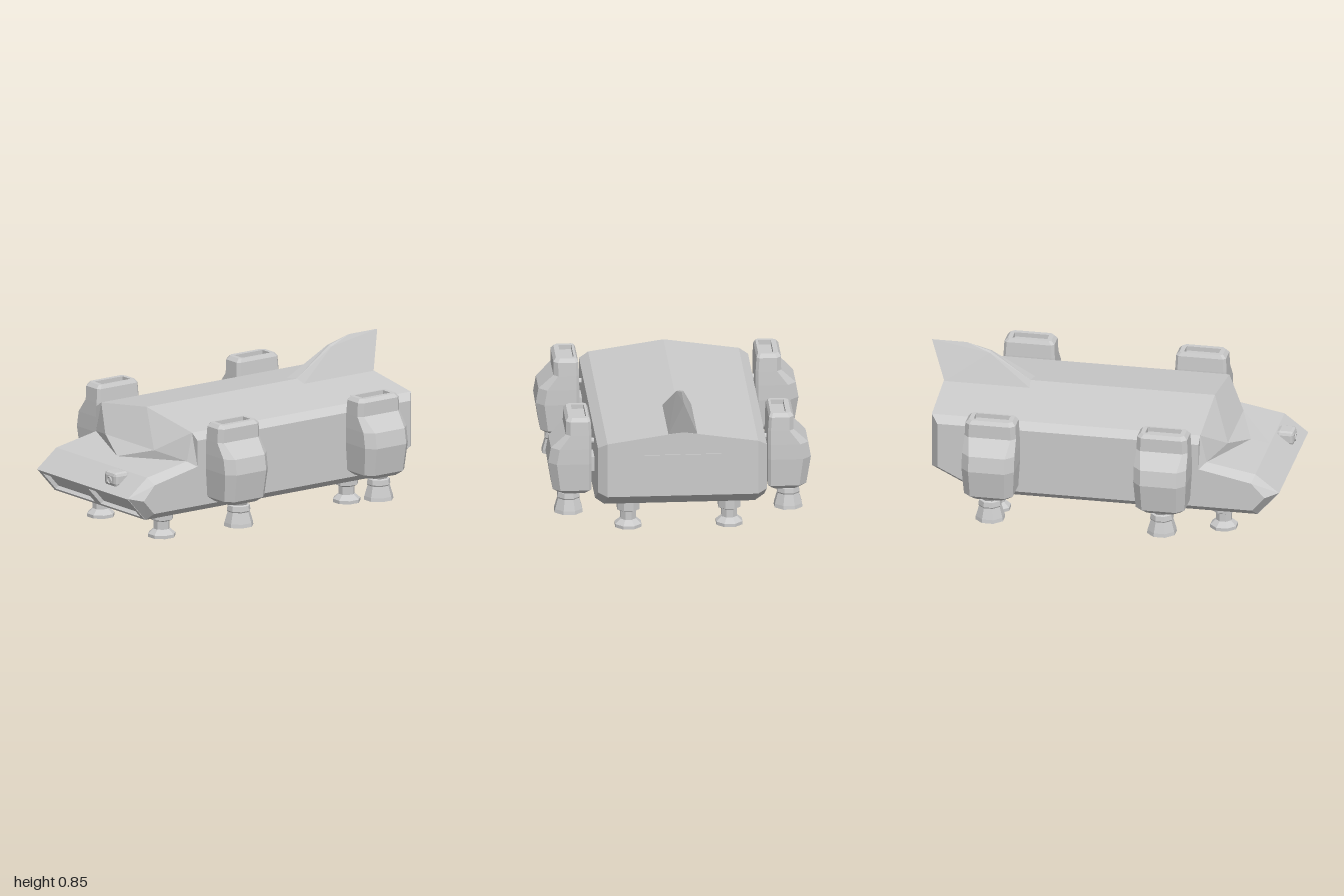
import * as THREE from 'three';
import { RoundedBoxGeometry } from 'three/addons/geometries/RoundedBoxGeometry.js';

const material = new THREE.MeshStandardMaterial({ color: 0xcccccc, flatShading: true });

function add(parent, name, geometry, x = 0, y = 0, z = 0) {
  const mesh = new THREE.Mesh(geometry, material);
  mesh.name = name;
  mesh.position.set(x, y, z);
  parent.add(mesh);
  return mesh;
}

function fromTriangles(positions) {
  const g = new THREE.BufferGeometry();
  g.setAttribute('position', new THREE.Float32BufferAttribute(positions, 3));
  g.computeVertexNormals();
  return g;
}

// Polygons of the +x half, mirrored to -x and turned to face away from an inner point
function mirroredShell(polygons, inner) {
  const out = [];
  const centre = new THREE.Vector3(...inner);
  for (const polygon of polygons) {
    for (const side of [1, -1]) {
      const p = polygon.map(([x, y, z]) => new THREE.Vector3(x * side, y, z));
      const normal = p[1].clone().sub(p[0]).cross(p[2].clone().sub(p[0]));
      if (normal.dot(p[0].clone().sub(centre)) < 0) p.reverse();
      // keep the fan centred on the polygon's first corner
      if (normal.dot(p[0].clone().sub(centre)) === 0) continue;
      const first = p.findIndex(v => v.x === polygon[0][0] * side && v.y === polygon[0][1] && v.z === polygon[0][2]);
      const q = [...p.slice(first), ...p.slice(0, first)];
      for (let i = 1; i < q.length - 1; i++) {
        for (const v of [q[0], q[i], q[i + 1]]) out.push(v.x, v.y, v.z);
      }
    }
  }
  return fromTriangles(out);
}

// Hull with chamfered edges, sloping tail and faceted windscreen
function hullGeometry() {
  const roof0f = [0, 0.65, 0.565], roof0b = [0, 0.65, -0.92];
  const roof1f = [0.41, 0.59, 0.565], roof1b = [0.41, 0.59, -0.92];
  const roof2f = [0.46, 0.555, 0.565], roof2b = [0.46, 0.555, -0.88];
  const tail0 = [0, 0.285, -0.92], tail1 = [0.41, 0.285, -0.92], tail2 = [0.46, 0.3, -0.88];
  const keel0b = [0, 0.15, -0.65], keel1b = [0.41, 0.15, -0.65], keel2b = [0.46, 0.19, -0.66];
  const keel0f = [0, 0.15, 0.88], keel1f = [0.41, 0.15, 0.88], keel2f = [0.46, 0.19, 0.86];
  const nose0 = [0, 0.285, 1], nose1 = [0.41, 0.285, 1], nose2 = [0.46, 0.27, 0.93];
  const hood0 = [0, 0.385, 0.87], hood1 = [0.41, 0.385, 0.87], hood2 = [0.46, 0.35, 0.855];
  const glassTip = [0, 0.405, 0.765], glassBase = [0.41, 0.435, 0.6], glassSide = [0.46, 0.41, 0.565];
  const glassMid = [0.22, 0.47, 0.68], glassMid0 = [0, 0.47, 0.68];
  return mirroredShell([
    [roof0f, roof1f, roof1b, roof0b],
    [roof1f, roof2f, roof2b, roof1b],
    [glassSide, hood2, nose2, keel2f, keel2b, tail2, roof2b, roof2f],
    [roof0b, roof1b, tail1, tail0],
    [roof1b, roof2b, tail2, tail1],
    [tail0, tail1, keel1b, keel0b],
    [tail1, tail2, keel2b, keel1b],
    [keel0b, keel1b, keel1f, keel0f],
    [keel1b, keel2b, keel2f, keel1f],
    [keel1f, keel2f, nose2, nose1],
    [nose0, nose1, hood1, hood0],
    [nose1, nose2, hood2, hood1],
    [hood0, hood1, glassBase, glassTip],
    [hood1, hood2, glassSide, glassBase],
    [roof0f, glassMid0, glassMid],
    [roof0f, glassMid, roof1f],
    [roof1f, glassMid, glassBase],
    [glassMid0, glassTip, glassMid],
    [glassMid, glassTip, glassBase],
    [roof1f, glassBase, glassSide, roof2f],
  ], [0, 0.3, 0.2]);
}

// Tail fin: triangular section with a leaning leading face
function finGeometry() {
  const front = [0.08, 0.635, -0.44], front0 = [0, 0.65, -0.455];
  const shoulder = [0.02, 0.8, -0.675], shoulder0 = [0, 0.805, -0.675];
  const peak = [0, 0.845, -0.81], tip = [0, 0.845, -1], back = [0.08, 0.635, -0.915], back0 = [0, 0.635, -0.915];
  return mirroredShell([
    [front0, front, shoulder, shoulder0],
    [shoulder0, shoulder, peak],
    [front, back, shoulder],
    [shoulder, back, tip, peak],
    [back, back0, tip],
  ], [0, 0.68, -0.75]);
}

// Engine pod lofted upward; the last rings sink a slot into its top
function podGeometry() {
  const rings = [ // y, inner x, outer x, half depth, outer chamfer, inner chamfer
    [0.22, 0.505, 0.66, 0.105, 0.035, 0.015],
    [0.245, 0.48, 0.69, 0.135, 0.04, 0.015],
    [0.4, 0.48, 0.715, 0.145, 0.045, 0.015],
    [0.485, 0.48, 0.7, 0.145, 0.045, 0.015],
    [0.565, 0.48, 0.62, 0.142, 0.025, 0.015],
    [0.64, 0.485, 0.62, 0.138, 0.025, 0.015],
    [0.66, 0.495, 0.605, 0.12, 0.02, 0.012],
    [0.66, 0.508, 0.578, 0.095, 0.002, 0.002],
    [0.635, 0.508, 0.578, 0.095, 0.002, 0.002],
  ].map(([y, xi, xo, h, co, ci]) => [
    [xo, y, co - h], [xo, y, h - co], [xo - co, y, h], [xi + ci, y, h],
    [xi, y, h - ci], [xi, y, ci - h], [xi + ci, y, -h], [xo - co, y, -h],
  ]);
  const out = [];
  for (let r = 0; r < rings.length - 1; r++) {
    const a = rings[r], b = rings[r + 1];
    for (let i = 0; i < 8; i++) {
      const j = (i + 1) % 8;
      out.push(...a[i], ...b[i], ...a[j], ...b[i], ...b[j], ...a[j]);
    }
  }
  const bottom = rings[0], floor = rings[rings.length - 1];
  for (let i = 1; i < 7; i++) {
    out.push(...bottom[0], ...bottom[i], ...bottom[i + 1]);
    out.push(...floor[0], ...floor[i + 1], ...floor[i]);
  }
  return fromTriangles(out);
}

function lathe(points) {
  return new THREE.LatheGeometry(points.map(p => new THREE.Vector2(...p)), 8, Math.PI / 8);
}

// Front panel on the lower nose slope with two recessed openings
function addNosePanel(parent) {
  const rect = (path, x0, y0, x1, y1) =>
    path.moveTo(x0, y0).lineTo(x1, y0).lineTo(x1, y1).lineTo(x0, y1).closePath();
  const shape = new THREE.Shape();
  rect(shape, -0.408, 0.002, 0.408, 0.178);
  for (const x of [-0.205, 0.205]) {
    const hole = new THREE.Path();
    rect(hole, x - 0.177, 0.02, x + 0.177, 0.152);
    shape.holes.push(hole);
  }
  const panel = new THREE.Group();
  panel.name = 'nosePanel';
  panel.position.set(0, 0.15, 0.88);
  panel.rotation.x = Math.atan2(0.12, 0.135);
  add(panel, 'intakeFrame', new THREE.ExtrudeGeometry(shape, { depth: 0.024, bevelEnabled: false }), 0, 0, -0.022);
  add(panel, 'intakeBack', new THREE.PlaneGeometry(0.8, 0.16), 0, 0.088, -0.021);
  parent.add(panel);
}

export function createModel() {
  const model = new THREE.Group();
  model.name = 'shuttle';

  // Lower nose slope is left open in the hull and filled by the panel
  add(model, 'hull', hullGeometry());
  addNosePanel(model);
  add(model, 'tailFin', finGeometry());
  add(model, 'rearDoor', new THREE.BoxGeometry(0.43, 0.235, 0.02), 0, 0.405, -0.916);

  // Nose camera
  add(model, 'noseCamera', new RoundedBoxGeometry(0.11, 0.08, 0.1, 1, 0.02), 0.205, 0.35, 0.92);
  add(model, 'cameraLens', new THREE.TorusGeometry(0.018, 0.005, 4, 10), 0.205, 0.345, 0.97);

  // Four engine pods; a half turn mirrors the symmetrical pod to the other side
  const pod = podGeometry();
  const nozzle = lathe([[0, 0.17], [0.045, 0.17], [0.07, 0.085], [0.083, 0.085], [0.08, 0.105],
    [0.062, 0.165], [0.066, 0.172], [0.062, 0.2], [0.05, 0.205], [0.06, 0.225]]);
  for (const z of [0.39, -0.56]) {
    for (const turn of [0, Math.PI]) {
      const engine = new THREE.Group();
      engine.name = (z > 0 ? 'front' : 'rear') + (turn ? 'Right' : 'Left') + 'Engine';
      engine.position.z = z;
      engine.rotation.y = turn;
      add(engine, 'pod', pod);
      add(engine, 'nozzle', nozzle, 0.598);
      add(engine, 'mainStrut', new THREE.BoxGeometry(0.06, 0.08, 0.12), 0.47, 0.37);
      add(engine, 'upperStrut', new THREE.CylinderGeometry(0.017, 0.017, 0.06, 8), 0.47, 0.485)
        .rotation.z = Math.PI / 2;
      model.add(engine);
    }
  }

  // Landing feet
  const foot = lathe([[0, 0], [0.077, 0], [0.077, 0.018], [0.045, 0.045], [0.045, 0.09],
    [0.065, 0.1], [0.065, 0.16]]);
  for (const z of [0.67, -0.585]) {
    for (const x of [-0.275, 0.275]) add(model, 'landingFoot', foot, x, 0, z);
  }
  return model;
}
